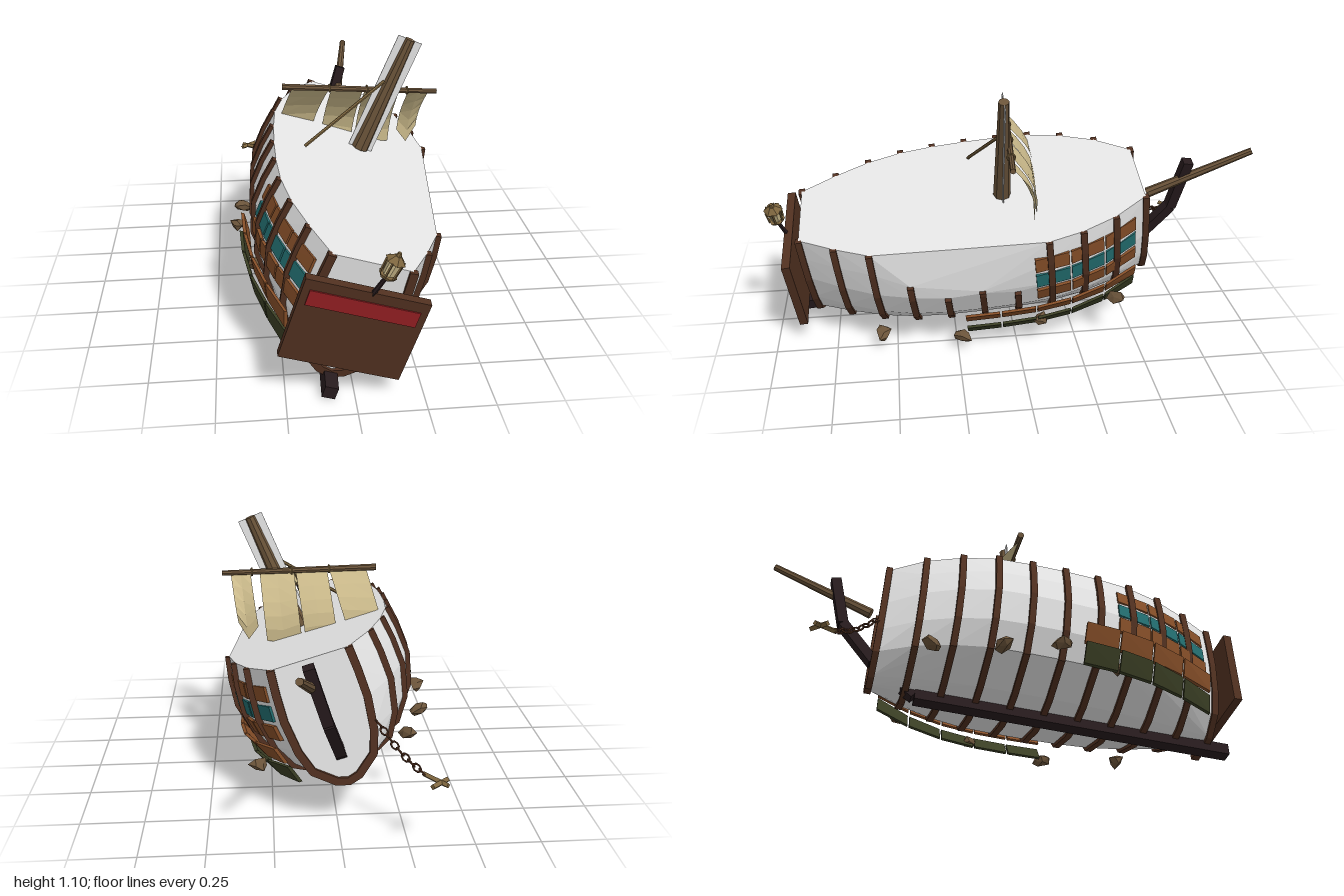
import * as THREE from 'three';
import { ConvexGeometry } from 'three/addons/geometries/ConvexGeometry.js';

const V = (x, y, z) => new THREE.Vector3(x, y, z);
const mat = (name, color, side = THREE.FrontSide) => {
  const m = new THREE.MeshStandardMaterial({ color, flatShading: true, side });
  m.name = name;
  return m;
};

export function createModel() {
  const M = {
    hull: mat('pale grey', 0xe4e4e4),
    frame: mat('dark brown', 0x503020),
    plank: mat('plank brown', 0x854e28),
    teal: mat('teal paint', 0x226c6e),
    moss: mat('mossy wood', 0x3a3e24),
    keel: mat('tarred black', 0x271b1d),
    timber: mat('weathered timber', 0x6b543a),
    sail: mat('canvas', 0xcbba8b, THREE.DoubleSide),
    red: mat('red paint', 0x941f22),
    brass: mat('old brass', 0x7e663f),
  };
  const root = new THREE.Group();
  root.name = 'shipwreck';

  // Listing ship: rolled to one side, bow raised
  const ship = new THREE.Group();
  ship.name = 'ship';
  ship.position.x = -0.1;
  ship.rotation.set(0.1045, 0, -0.297, 'ZYX');
  root.add(ship);

  const add = (parent, name, geo, material) => {
    const m = new THREE.Mesh(geo, material);
    m.name = name;
    parent.add(m);
    return m;
  };
  const UP = V(0, 1, 0);
  const between = (mesh, a, b) => {
    mesh.position.copy(a).add(b).multiplyScalar(0.5);
    mesh.quaternion.setFromUnitVectors(UP, b.clone().sub(a).normalize());
    return mesh;
  };
  const pole = (parent, name, a, b, r0, r1, material, sides = 8) =>
    between(add(parent, name, new THREE.CylinderGeometry(r1, r0, a.distanceTo(b), sides), material), a, b);
  const bar = (parent, name, a, b, w, d, material) =>
    between(add(parent, name, new THREE.BoxGeometry(w, a.distanceTo(b), d), material), a, b);

  // Hull form: one midship section scaled by the half-breadth at each rib
  const section = [[0, 0.143], [0.1, 0.156], [0.268, 0.22], [0.333, 0.31], [0.364, 0.44], [0.355, 0.55], [0.337, 0.645]];
  const breadth = [0.148, 0.222, 0.284, 0.322, 0.338, 0.344, 0.344, 0.337, 0.303, 0.245, 0.15];
  const ribZ = i => 0.81 - i * 0.141;
  const scaleAt = z => {
    const t = THREE.MathUtils.clamp((0.81 - z) / 0.141, 0, 9.999), i = Math.floor(t);
    return THREE.MathUtils.lerp(breadth[i], breadth[i + 1], t - i) / 0.337;
  };
  const halfAt = (y, z) => {
    let i = 0;
    while (i < section.length - 2 && section[i + 1][1] < y) i++;
    const [x0, y0] = section[i], [x1, y1] = section[i + 1];
    return scaleAt(z) * THREE.MathUtils.lerp(x0, x1, (y - y0) / (y1 - y0));
  };

  // Ribs, four of them snapped off on the left side
  const broken = { 3: 0.5, 4: 0.425, 5: 0.45, 6: 0.415 };
  const hullPoints = [];
  breadth.forEach((b, i) => {
    const z = ribZ(i), top = broken[i] ?? 0.645;
    const side = section.map(([x, y]) => [x * b / 0.337, y]);
    const cut = side.filter(p => p[1] < top);
    cut.push([halfAt(top, z), top]);
    const path = [...side.slice(1).reverse().map(([x, y]) => [-x, y]), ...cut];
    path.forEach(([x, y]) => hullPoints.push(V(x, y, z)));
    const offset = d => path.map(([x, y], k) => {
      const a = path[Math.max(k - 1, 0)], c = path[Math.min(k + 1, path.length - 1)];
      const tx = c[0] - a[0], ty = c[1] - a[1], l = Math.hypot(tx, ty);
      return new THREE.Vector2(x + d * ty / l, y - d * tx / l);
    });
    const shape = new THREE.Shape([...offset(0.016), ...offset(-0.015).reverse()]);
    const g = new THREE.ExtrudeGeometry(shape, { depth: 0.026, bevelEnabled: false });
    add(ship, 'rib', g.translate(0, 0, z - 0.013), M.frame);
  });
  add(ship, 'hullBody', new ConvexGeometry(hullPoints), M.hull);

  // Remaining planking: upper rows between the ribs, lower rows sprung loose
  const planks = (side, z0, count, y0, y1, xAt, name, material) => {
    for (let k = 0; k < count; k++) {
      const pts = [];
      for (const z of [z0 - k * 0.148 - 0.004, z0 - (k + 1) * 0.148 + 0.004])
        for (const y of [y0, y1])
          for (const d of [0, 0.014]) pts.push(V(side * (xAt(y, z) + d), y, z));
      add(ship, name, new ConvexGeometry(pts), material);
    }
  };
  const hug = off => (y, z) => halfAt(y, z) + off;
  const hang = (y, z) => scaleAt(z) * (0.34 + (y - 0.21) * 0.6);
  for (const [side, upper, nUpper, lower, nLower] of [[1, -0.11, 3, 0.19, 5], [-1, 0.765, 3, 0.765, 4]]) {
    planks(side, upper, nUpper, 0.515, 0.577, hug(-0.004), 'upperPlank', M.plank);
    planks(side, upper, nUpper, 0.435, 0.498, hug(-0.004), 'paintedPlank', M.teal);
    planks(side, upper, nUpper, 0.355, 0.418, hug(0.005), 'middlePlank', M.plank);
    planks(side, lower, nLower, 0.262, 0.332, hug(0.04), 'lowerPlank', M.plank);
    planks(side, lower, nLower, 0.172, 0.246, hang, 'mossyPlank', M.moss);
  }

  // Keel and stem
  const spine = [V(0, 0.127, 0.905), V(0, 0.127, -0.42), V(0, 0.26, -0.6), V(0, 0.43, -0.745), V(0, 0.67, -0.81)];
  for (let i = 0; i < 4; i++)
    bar(ship, i ? 'stem' : 'keel', spine[i], spine[i + 1], i ? 0.042 : 0.05, i ? 0.042 : 0.05, M.keel);
  pole(ship, 'bowsprit', V(0.01, 0.53, -0.64), V(0.024, 0.703, -1.07), 0.022, 0.014, M.timber);

  // Transom with painted band
  add(ship, 'transom', new THREE.BoxGeometry(0.453, 0.347, 0.034), M.frame).position.set(0, 0.405, 0.872);
  add(ship, 'transomBand', new THREE.BoxGeometry(0.4, 0.063, 0.006), M.red).position.set(0, 0.507, 0.891);

  // Stern lantern
  pole(ship, 'lanternPost', V(0.01, 0.54, 0.875), V(0.03, 0.665, 0.9), 0.01, 0.008, M.keel, 6);
  const lantern = new THREE.Group();
  lantern.name = 'lantern';
  lantern.position.set(0.03, 0.662, 0.898);
  lantern.rotation.z = -0.12;
  ship.add(lantern);
  const disc = (name, y, r0, r1, h, m) =>
    add(lantern, name, new THREE.CylinderGeometry(r1, r0, h, 6), m).position.set(0, y, 0);
  disc('lanternBase', 0.006, 0.029, 0.035, 0.012, M.brass);
  disc('lanternGlass', 0.04, 0.022, 0.025, 0.056, M.sail);
  disc('lanternRoof', 0.079, 0.039, 0.013, 0.022, M.brass);
  disc('lanternKnob', 0.096, 0.01, 0.007, 0.014, M.brass);
  for (let i = 0; i < 6; i++) {
    const c = Math.cos(i * Math.PI / 3), s = Math.sin(i * Math.PI / 3);
    pole(lantern, 'lanternBar', V(c * 0.03, 0.01, s * 0.03), V(c * 0.033, 0.07, s * 0.033), 0.004, 0.004, M.brass, 4);
  }

  // Leaning mast with its flat backing board
  const foot = V(0.12, 0.612, 0.043), head = V(0.317, 1.08, 0.057);
  pole(root, 'mast', foot, head, 0.036, 0.021, M.timber);
  bar(root, 'mastBoard', foot, head, 0.104, 0.004, M.hull);

  // Yard, lashings and broken spar
  const yardAt = x => V(x, 0.867 - 0.041 * x, 0.008 + 0.067 * x);
  pole(root, 'yard', yardAt(-0.2), yardAt(0.438), 0.014, 0.011, M.timber);
  for (const x of [-0.005, 0.15, 0.315]) {
    const ring = add(root, 'lashing', new THREE.TorusGeometry(0.015, 0.004, 5, 10), M.brass);
    ring.position.copy(yardAt(x));
    ring.rotation.y = Math.PI / 2;
  }
  pole(root, 'brokenSpar', V(-0.12, 0.678, 0.163), V(0.215, 0.907, 0.058), 0.007, 0.007, M.brass, 6);

  // Torn sail strips: [x0, x1, billow, drift, left, middle, right drop]
  const strips = [
    [-0.16, -0.008, 0.118, 0.07, 0.25, 0.24, 0.23],
    [0.002, 0.132, 0.115, 0.035, 0.25, 0.25, 0.26],
    [0.14, 0.282, 0.112, 0.025, 0.24, 0.268, 0.26],
    [0.32, 0.402, 0.095, 0.028, 0.2, 0.255, 0.18],
  ];
  for (const [x0, x1, billow, drift, ...drop] of strips) {
    const g = new THREE.PlaneGeometry(1, 1, 2, 5), p = g.attributes.position;
    for (let i = 0; i < p.count; i++) {
      const u = p.getX(i) + 0.5, t = 0.5 - p.getY(i), x = THREE.MathUtils.lerp(x0, x1, u);
      const y = yardAt(x);
      p.setXYZ(i, x - drift * t, y.y - 0.008 - t * drop[Math.round(u * 2)], y.z - billow * Math.sin(t * 1.8));
    }
    add(root, 'sailStrip', g, M.sail);
  }

  // Anchor chain and anchor
  const c0 = V(-0.14, 0.44, -0.575), c1 = V(-0.3, 0.297, -0.75), links = 9;
  const along = c1.clone().sub(c0).normalize();
  for (let i = 0; i < links; i++) {
    const link = add(root, 'chainLink', new THREE.TorusGeometry(0.013, 0.004, 5, 8).scale(0.9, 1.35, 1), M.frame);
    const t = (i + 0.5) / links;
    link.position.lerpVectors(c0, c1, t);
    link.position.y -= 0.02 * Math.sin(Math.PI * t);
    link.quaternion.setFromUnitVectors(UP, along);
    link.rotateY(i % 2 * Math.PI / 2);
  }
  bar(root, 'anchorShank', V(-0.295, 0.297, -0.742), V(-0.37, 0.288, -0.822), 0.015, 0.015, M.brass);
  bar(root, 'anchorArms', V(-0.375, 0.29, -0.778), V(-0.312, 0.29, -0.832), 0.016, 0.016, M.brass);

  // Scattered rocks along both sides
  const rocks = [
    [0.25, 0.062, 0.555], [0.31, 0.058, 0.23], [0.3, 0.11, -0.1], [0.3, 0.19, -0.42],
    [-0.295, 0.29, -0.38], [-0.38, 0.28, -0.125], [-0.405, 0.305, 0.1], [-0.335, 0.25, 0.345],
  ];
  rocks.forEach(([x, y, z], i) => {
    const g = new THREE.IcosahedronGeometry(0.04, 0);
    const p = g.attributes.position;
    for (let k = 0; k < p.count; k++) {
      const s = 1 + 0.22 * Math.sin(p.getX(k) * 170 + p.getY(k) * 230 + p.getZ(k) * 90 + i);
      p.setXYZ(k, p.getX(k) * s * 1.1, p.getY(k) * s * 0.65, p.getZ(k) * s * 0.75);
    }
    const rock = add(root, 'rock', g, M.timber);
    rock.position.set(x, y, z);
    rock.rotation.set(0, i * 1.3, -0.25);
  });
  return root;
}
